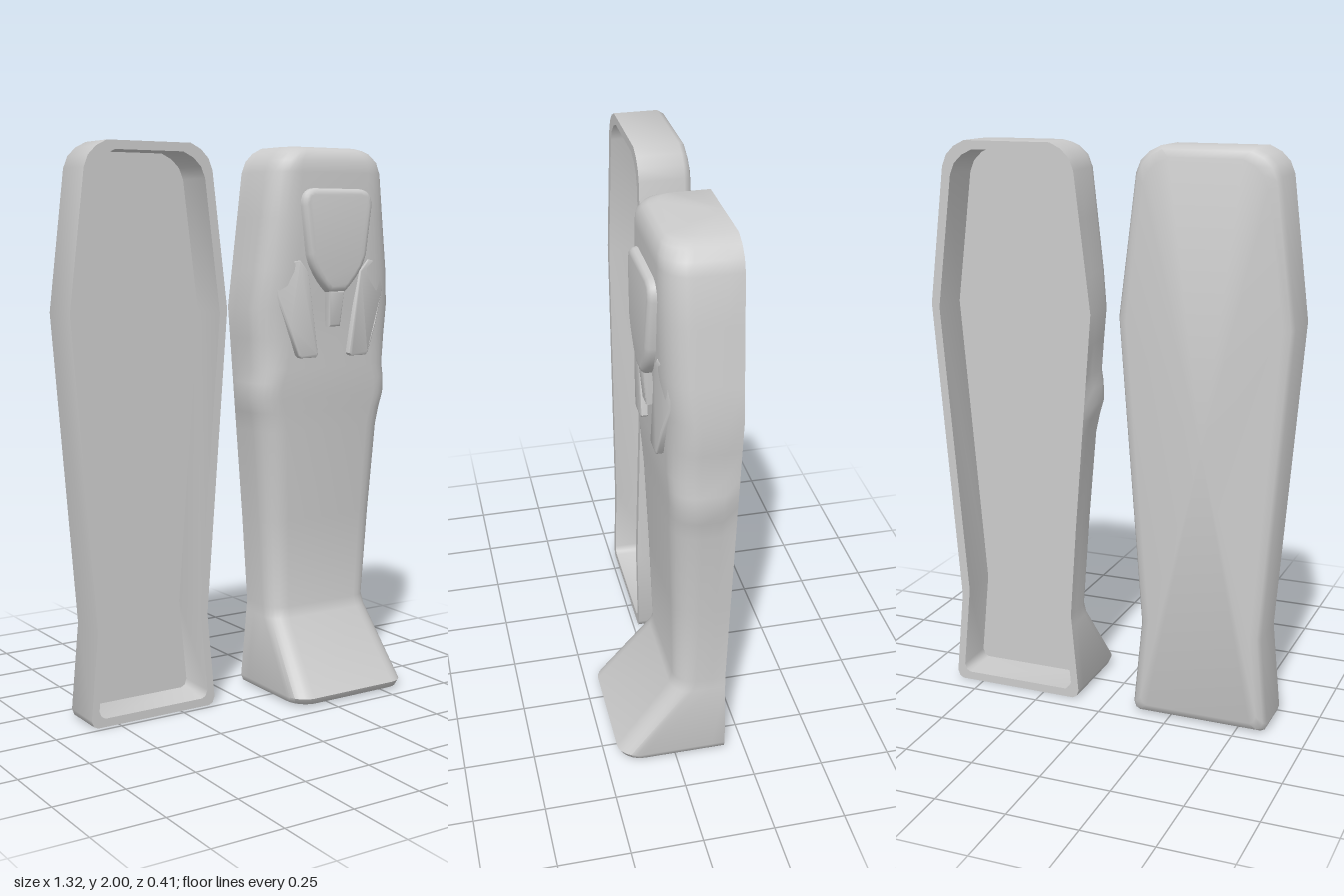
import * as THREE from 'three';
import { toCreasedNormals } from 'three/addons/utils/BufferGeometryUtils.js';

const material = new THREE.MeshStandardMaterial({ color: 0xcccccc });
const CENTRE = 0.357; // distance of each half from the middle
const BACK = -0.18;   // rim plane of the lid

// coffin outline: [y, half width] from foot to head
const OUTLINE = [[0, 0.225], [0.008, 0.24], [0.03, 0.248], [0.34, 0.219], [1.43, 0.305],
  [1.91, 0.246], [1.95, 0.23], [1.98, 0.2], [2, 0.16]];

function halfWidth(y) {
  for (let i = 1; i < OUTLINE.length; i++) {
    const [y0, w0] = OUTLINE[i - 1], [y1, w1] = OUTLINE[i];
    if (y <= y1) return w0 + (w1 - w0) * (y - y0) / (y1 - y0);
  }
  return OUTLINE.at(-1)[1];
}

// skin through rows of points; every row has the same count
function loft(rows, closed) {
  const n = rows[0].length, index = [];
  for (let r = 0; r < rows.length - 1; r++) {
    for (let i = 0; i < (closed ? n : n - 1); i++) {
      const a = r * n + i, b = r * n + (i + 1) % n;
      index.push(a, b, b + n, a, b + n, a + n);
    }
  }
  const g = new THREE.BufferGeometry();
  g.setAttribute('position', new THREE.Float32BufferAttribute(rows.flat(2), 3));
  g.setIndex(index);
  return toCreasedNormals(g, 0.8);
}

// outline loop at depth z, moved inward by inset, counterclockwise from the front
function ring(z, inset) {
  const right = OUTLINE.map(([y, w]) => [w - inset, 1 + (y - 1) * (1 - inset), z]);
  return [...right, ...right.map(([x, y]) => [-x, y, z]).reverse()];
}
const point = (row, p) => row.map(() => p);

function add(parent, name, geometry) {
  const mesh = new THREE.Mesh(geometry, material);
  mesh.name = name;
  parent.add(mesh);
  return mesh;
}

// bevelled plate whose vertices are then shifted in z by a rule
function plate(shape, back, front, bevel, shift) {
  const g = new THREE.ExtrudeGeometry(shape, {
    depth: front - back - bevel, bevelThickness: bevel, bevelSize: bevel,
    bevelOffset: -bevel, bevelSegments: 3, curveSegments: 8 });
  g.translate(0, 0, back);
  const p = g.attributes.position;
  for (let i = 0; i < p.count; i++) p.setZ(i, p.getZ(i) + shift(p.getX(i), p.getY(i)));
  return toCreasedNormals(g, 0.8);
}

// one cross-section of the lid from its right rim over the front to its left rim
function section([y, front, c, d, bump = 0]) {
  const w = halfWidth(y), half = [[w, y, BACK], [w + bump, y, BACK + 0.05]];
  for (let i = 0; i <= 6; i++) {
    const a = i / 6 * Math.PI / 2;
    half.push([w + bump - c * (1 - Math.cos(a)), y, front - d + d * Math.sin(a)]);
  }
  return [...half.map(([x, v, z]) => [-x, v, z]), ...half.reverse()];
}

export function createModel() {
  const model = new THREE.Group();
  model.name = 'coffin';

  // hollow base, open to the front
  const base = new THREE.Group();
  base.name = 'base';
  base.position.x = -CENTRE;
  const rings = [ring(-0.205, 0.035), ring(-0.195, 0.011), ring(-0.175, 0),
    ring(-0.02, 0), ring(-0.02, 0.03), ring(-0.17, 0.03)];
  rings.unshift(point(rings[0], [0, 1, -0.205]));
  rings.push(point(rings[0], [0, 1, -0.17]));
  add(base, 'baseShell', loft(rings, true));

  // lid, open to the back
  const lid = new THREE.Group();
  lid.name = 'lid';
  lid.position.x = CENTRE;

  // rows: y, front z, corner width, corner depth, elbow bulge
  const rows = [
    [0, 0.175, 0.07, 0.08], [0.008, 0.193, 0.07, 0.08], [0.03, 0.203, 0.07, 0.08],
    [0.28, 0.008, 0.07, 0.07], [0.32, -0.004, 0.07, 0.07], [0.65, 0.008, 0.08, 0.08],
    [0.98, 0.023, 0.09, 0.09], [1.05, 0.027, 0.09, 0.09, 0.008], [1.1, 0.03, 0.09, 0.09, 0.018],
    [1.16, 0.034, 0.09, 0.09, 0.011], [1.21, 0.036, 0.1, 0.09], [1.32, 0.038, 0.12, 0.09],
    [1.43, 0.042, 0.13, 0.09], [1.56, 0.056, 0.13, 0.09], [1.75, 0.06, 0.12, 0.09],
    [1.91, 0.062, 0.1, 0.09], [1.95, 0.06, 0.09, 0.09], [1.98, 0.046, 0.08, 0.08],
    [1.992, 0.03, 0.07, 0.07], [2, 0, 0.06, 0.06],
  ].map(section);
  rows.unshift(point(rows[0], [0, 0, BACK]));
  rows.push(point(rows[0], [0, 2, BACK]));
  add(lid, 'lidShell', loft(rows, false));

  // rim and hollow of the lid
  const inner = [ring(BACK, 0), ring(BACK, 0.03), ring(-0.03, 0.03)].map(r => r.reverse());
  inner.push(point(inner[0], [0, 1, -0.03]));
  add(lid, 'lidHollow', loft(inner, true));

  // headdress flaps either side of the neck
  for (const s of [-1, 1]) {
    const flap = new THREE.Shape([[0.25, 1.56], [0.235, 1.47], [0.195, 1.36], [0.157, 1.26],
      [0.145, 1.25], [0.08, 1.25], [0.07, 1.26], [0.115, 1.56], [0.15, 1.6], [0.22, 1.6]]
      .map(([x, y]) => new THREE.Vector2(s * x, y)));
    add(lid, s > 0 ? 'leftFlap' : 'rightFlap', plate(flap, 0.015, 0.061, 0.006,
      x => -3.5 * Math.max(0, Math.abs(x) - 0.15) ** 2));
  }

  // face, sloping back towards the brow
  const face = new THREE.Shape();
  face.moveTo(-0.035, 1.485);
  face.lineTo(0.035, 1.485);
  face.quadraticCurveTo(0.11, 1.55, 0.128, 1.62);
  face.lineTo(0.152, 1.79);
  face.quadraticCurveTo(0.155, 1.85, 0.1, 1.853);
  face.lineTo(-0.1, 1.853);
  face.quadraticCurveTo(-0.155, 1.85, -0.152, 1.79);
  face.lineTo(-0.128, 1.62);
  face.quadraticCurveTo(-0.11, 1.55, -0.035, 1.485);
  add(lid, 'face', plate(face, 0.03, 0.091, 0.02, (x, y) => -0.03 * Math.abs(y - 1.68) ** 1.1));

  // narrow beard below the chin
  const beard = new THREE.Shape([[-0.025, 1.36], [0.025, 1.36], [0.034, 1.49], [-0.034, 1.49]]
    .map(([x, y]) => new THREE.Vector2(x, y)));
  add(lid, 'beard', plate(beard, 0.02, 0.078, 0.008, (x, y) => -0.1 * (1.49 - y)));

  model.add(base, lid);
  return model;
}
